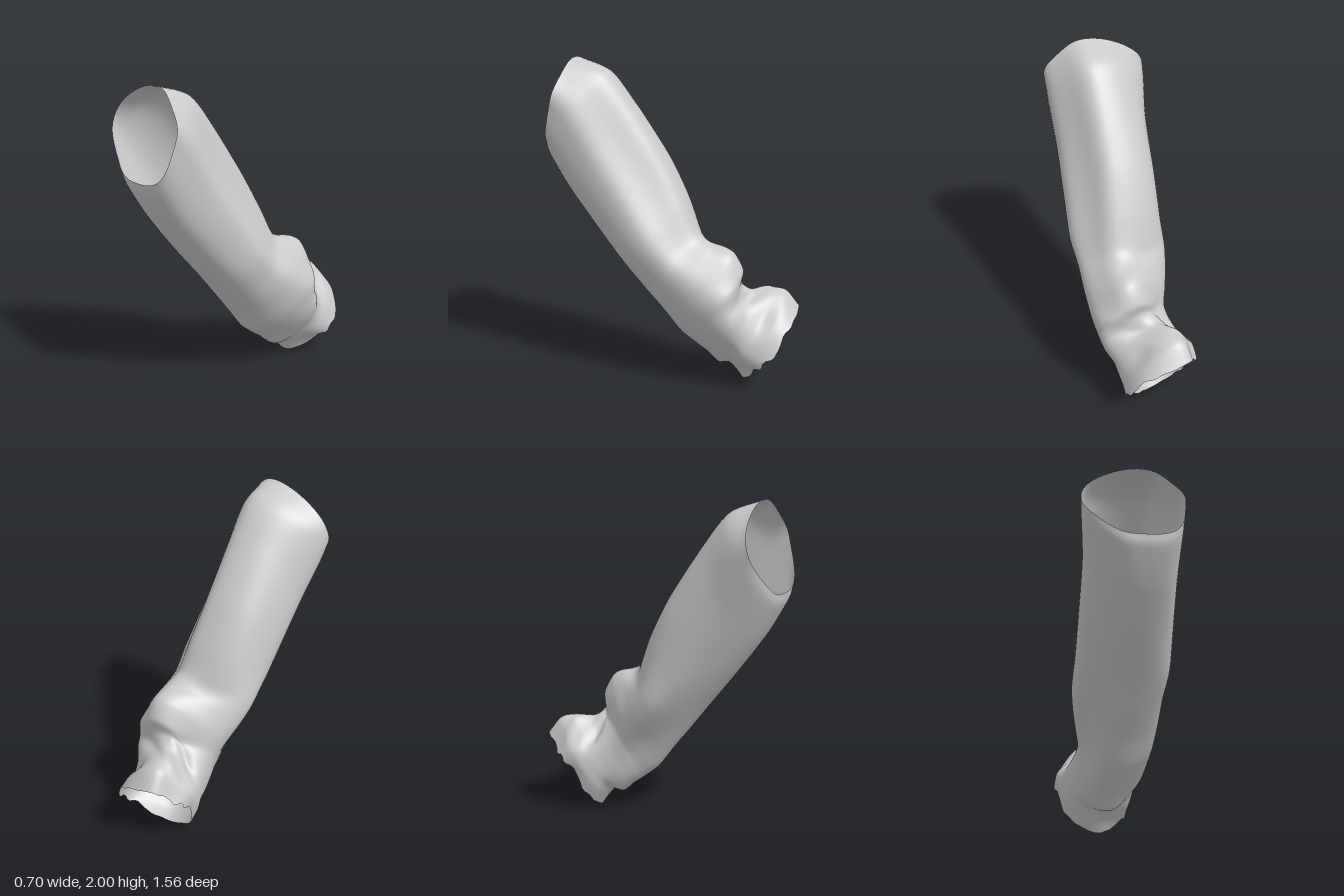
import * as THREE from 'three';

// Four guide rails run along the sleeve, from the wide rim down to the crumpled cuff.
const rail = (pts) => new THREE.CatmullRomCurve3(pts.map((p) => new THREE.Vector3(...p)), false, 'catmullrom', 0.4);

const back = rail([
  [0.04, 2.0, 0.64], [0.05, 1.92, 0.43], [0.06, 1.72, 0.27], [0.07, 1.4, 0.06], [0.09, 1.15, -0.075],
  [0.11, 0.95, -0.17], [0.12, 0.9, -0.28], [0.13, 0.85, -0.39], [0.11, 0.74, -0.45], [0.06, 0.65, -0.43],
  [0.02, 0.58, -0.49], [-0.02, 0.59, -0.6], [-0.05, 0.57, -0.69], [-0.07, 0.47, -0.77],
]);
const front = rail([
  [-0.05, 1.45, 0.775], [-0.04, 1.37, 0.755], [-0.02, 1.17, 0.64], [0, 0.94, 0.47], [0.02, 0.73, 0.3],
  [0.03, 0.56, 0.17], [0.03, 0.42, 0.06], [0.03, 0.29, -0.04], [0.03, 0.21, -0.14], [0.03, 0.16, -0.21],
  [0.03, 0.1, -0.28], [0.02, 0.11, -0.34], [0, 0.07, -0.38], [0, 0.0, -0.43],
]);
const right = rail([
  [-0.35, 1.74, 0.66], [-0.335, 1.66, 0.6], [-0.29, 1.43, 0.45], [-0.265, 1.16, 0.26], [-0.25, 0.93, 0.11],
  [-0.245, 0.78, 0], [-0.215, 0.66, -0.1], [-0.18, 0.57, -0.18], [-0.15, 0.49, -0.24], [-0.15, 0.43, -0.3],
  [-0.17, 0.38, -0.37], [-0.2, 0.36, -0.44], [-0.22, 0.35, -0.51], [-0.215, 0.31, -0.58],
]);
const left = rail([
  [0.29, 1.75, 0.72], [0.295, 1.64, 0.63], [0.3, 1.39, 0.48], [0.325, 1.12, 0.29], [0.345, 0.91, 0.14],
  [0.335, 0.77, 0.02], [0.345, 0.67, -0.11], [0.345, 0.58, -0.22], [0.34, 0.5, -0.32], [0.32, 0.42, -0.4],
  [0.28, 0.34, -0.45], [0.26, 0.28, -0.5], [0.255, 0.24, -0.56], [0.26, 0.21, -0.63],
]);

// Corner fullness along the sleeve: 0.5 is a flat facet, 0.71 round, more is square.
const corners = [
  [0.62, 0.575, 0.62, 0.68, 0.75], // back left
  [0.83, 0.74, 0.7, 0.66, 0.6], // front left
  [0.64, 0.68, 0.6, 0.71, 0.75], // front right
  [0.68, 0.77, 0.63, 0.6, 0.56], // back right
];

function fullness(corner, t) {
  const i = Math.min(3, Math.floor(t * 4));
  return THREE.MathUtils.lerp(corners[corner][i], corners[corner][i + 1], THREE.MathUtils.smoothstep(t * 4 - i, 0, 1));
}

// Folds: rail station, angle (0 = back, 90 = model's left), widths, slant, height.
const folds = [
  [5.6, -20, 0.5, 35, 0.012, -0.02],
  [8.6, -35, 0.5, 35, 0.015, -0.02],
  [9.3, 35, 0.6, 35, -0.02, -0.03],
  [8.0, 60, 0.6, 30, -0.02, 0.012],
  [7.0, -115, 1.5, 22, 0, -0.018],
  [10.2, 130, 0.7, 30, 0.01, -0.02],
  [10.6, -15, 0.5, 35, -0.035, 0.02],
  [9.9, -50, 0.5, 28, -0.03, -0.025],
  [11.2, 45, 0.7, 20, 0, -0.025],
];

function foldHeight(station, angle) {
  let sum = 0;
  for (const [s, a, ws, wa, slant, h] of folds) {
    const da = ((angle - a + 540) % 360) - 180;
    const ds = station - s - slant * da;
    sum += h * Math.exp(-((ds / ws) ** 2) - (da / wa) ** 2);
  }
  return sum;
}

function createSleeveGeometry(rows = 104, cols = 64) {
  const positions = [], index = [];
  const p = new THREE.Vector3(), c = new THREE.Vector3();
  for (let i = 0; i <= rows; i++) {
    const t = i / rows, station = t * 13;
    const [b, f, l, r] = [back, front, left, right].map((k) => k.getPoint(t));
    const midBF = b.clone().add(f).multiplyScalar(0.5);
    const midLR = l.clone().add(r).multiplyScalar(0.5);
    const halfBF = b.clone().sub(f).multiplyScalar(0.5);
    const halfLR = l.clone().sub(r).multiplyScalar(0.5);
    c.copy(midBF).add(midLR).multiplyScalar(0.5);
    const axis = front.getTangent(t);
    for (let j = 0; j < cols; j++) {
      const a = (j / cols) * Math.PI * 2, cos = Math.cos(a), sin = Math.sin(a);
      // Closed section through all four rails, each corner flattened or squared
      const corner = Math.floor((j * 4) / cols);
      const extra = (fullness(corner, t) - Math.SQRT1_2) * Math.sin(2 * a) ** 2;
      p.set(0, 0, 0)
        .addScaledVector(midBF, cos * cos).addScaledVector(midLR, sin * sin)
        .addScaledVector(halfBF, cos + extra * Math.sign(cos))
        .addScaledVector(halfLR, sin + extra * Math.sign(sin));
      const out = p.clone().sub(c).normalize();
      p.addScaledVector(out, foldHeight(station, (a * 180) / Math.PI));
      // Ragged hem at the cuff
      const hem = Math.max(0, station - 12.2) / 0.8;
      const ragged = Math.sin(a * 5 + 1) + 0.7 * Math.sin(a * 11) + 0.4 * Math.sin(a * 17 + 2);
      p.addScaledVector(axis, hem * 0.016 * ragged * sin * sin);
      positions.push(p.x, p.y, p.z);
      if (i < rows) {
        const k = i * cols + j, n = i * cols + ((j + 1) % cols);
        index.push(k, n, k + cols, n, n + cols, k + cols);
      }
    }
  }
  const geometry = new THREE.BufferGeometry();
  geometry.setAttribute('position', new THREE.Float32BufferAttribute(positions, 3));
  geometry.setIndex(index);
  geometry.computeVertexNormals();
  return geometry;
}

export function createModel() {
  const group = new THREE.Group();
  group.name = 'fabricSleeve';
  const material = new THREE.MeshStandardMaterial({ color: 0xcccccc, side: THREE.DoubleSide });
  const sleeve = new THREE.Mesh(createSleeveGeometry(), material);
  sleeve.name = 'sleeve';
  group.add(sleeve);
  return group;
}
